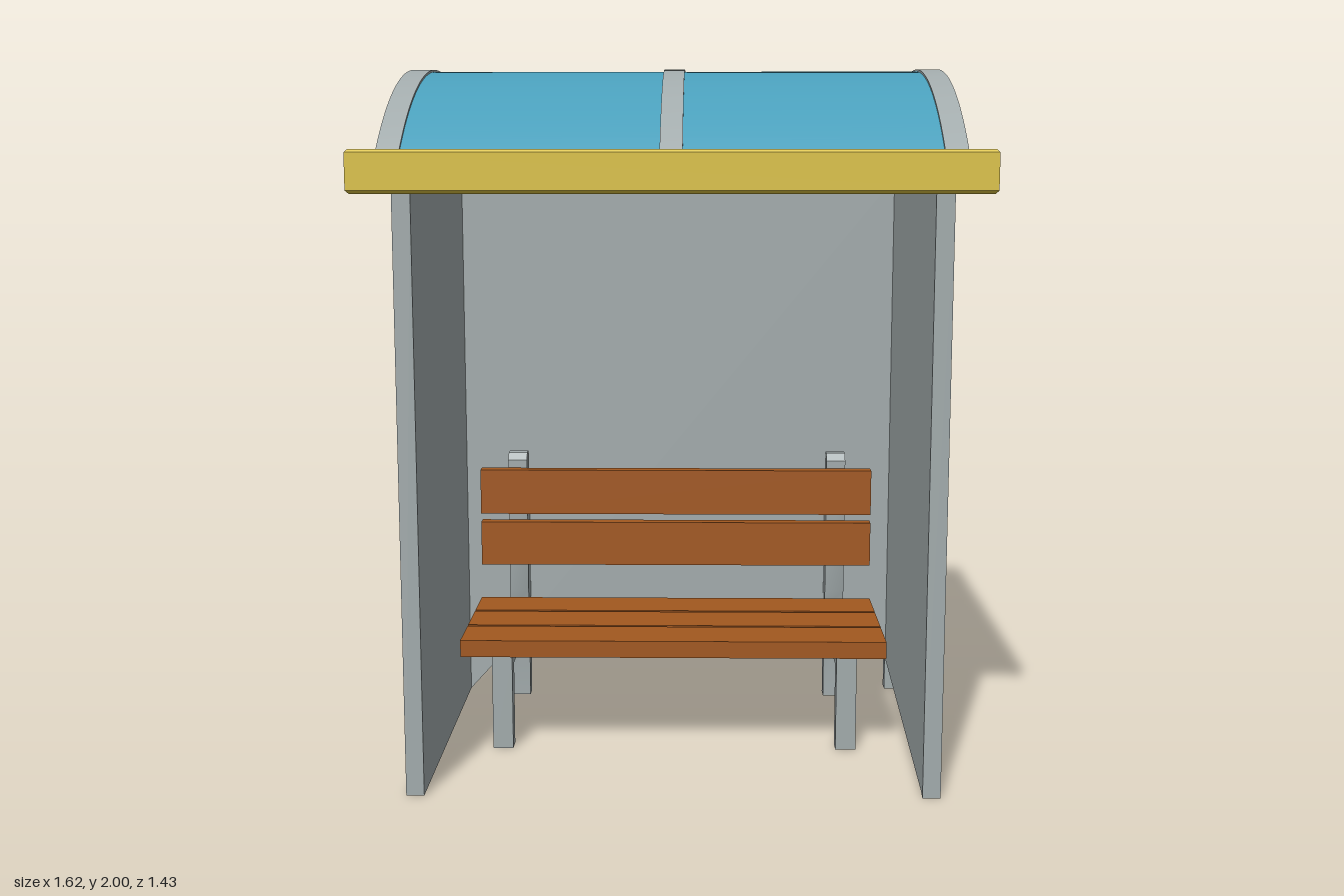
import * as THREE from 'three';
import { toCreasedNormals } from 'three/addons/utils/BufferGeometryUtils.js';

export function createModel() {
  const model = new THREE.Group();
  model.name = 'busShelter';

  const mat = (name, color) => {
    const m = new THREE.MeshStandardMaterial({ color });
    m.name = name;
    return m;
  };
  const yellow = mat('yellow frame', 0xd9c040);
  const blue = mat('blue canopy', 0x4a9fbb);
  const grey = mat('grey metal', 0xa2abac);
  const wood = mat('brown wood', 0xa2581f);

  const add = (name, geometry, material) => {
    const mesh = new THREE.Mesh(geometry, material);
    mesh.name = name;
    model.add(mesh);
    return mesh;
  };
  // Box given by its extents on each axis
  const box = (name, material, x0, x1, y0, y1, z0, z1) => {
    const mesh = add(name, new THREE.BoxGeometry(x1 - x0, y1 - y0, z1 - z0), material);
    mesh.position.set((x0 + x1) / 2, (y0 + y1) / 2, (z0 + z1) / 2);
    return mesh;
  };
  // Shape drawn in (-z, y), extruded along x from x0 to x1
  const extrudeX = (name, material, shape, x0, x1) => {
    const g = new THREE.ExtrudeGeometry(shape, { depth: x1 - x0, bevelEnabled: false, curveSegments: 28 });
    g.rotateY(Math.PI / 2);
    g.translate(x0, 0, 0);
    return add(name, toCreasedNormals(g, 0.5), material);
  };
  const polygon = (pts) => new THREE.Shape(pts.map(([a, b]) => new THREE.Vector2(a, b)));

  // Rectangular roof frame with an open middle, slightly bevelled
  const rim = polygon([[-0.803, -0.707], [0.803, -0.707], [0.803, 0.707], [-0.803, 0.707]]);
  rim.holes.push(new THREE.Path([[-0.747, -0.645], [-0.747, 0.645], [0.747, 0.645], [0.747, -0.645]]
    .map(([a, b]) => new THREE.Vector2(a, b))));
  const rimGeo = new THREE.ExtrudeGeometry(rim, {
    depth: 0.094, bevelEnabled: true, bevelSize: 0.008, bevelThickness: 0.008, bevelSegments: 1,
  });
  rimGeo.rotateX(-Math.PI / 2);
  rimGeo.translate(0, 1.668, 0);
  add('roofFrame', rimGeo, yellow);

  // Curved canopy and its ribs
  const centreY = 0.98, half = 0.705;
  const arc = (inner, outer) => {
    const s = new THREE.Shape();
    s.absarc(0, centreY, outer, Math.PI / 2 - half, Math.PI / 2 + half, false);
    s.absarc(0, centreY, inner, Math.PI / 2 + half, Math.PI / 2 - half, true);
    s.closePath();
    return s;
  };
  extrudeX('canopy', blue, arc(0.985, 1.014), -0.74, 0.74);
  for (const [x0, x1] of [[-0.745, -0.685], [-0.03, 0.028], [0.685, 0.745]]) {
    extrudeX('canopyRib', grey, arc(1.0, 1.02), x0, x1);
  }

  // Side walls: the left one rises toward the back, the right one reaches the ground
  const leftWall = polygon([[-0.48, 0], [-0.44, 0.01], [0.485, 0.11], [0.485, 0], [0.525, 0], [0.525, 1.69], [-0.48, 1.69]]);
  const rightWall = polygon([[-0.48, 0], [0.525, 0], [0.525, 1.69], [-0.48, 1.69]]);
  extrudeX('leftWall', grey, leftWall, 0.69, 0.74);
  extrudeX('rightWall', grey, rightWall, -0.74, -0.69);

  // Back wall with a small gusset at the right-hand foot
  const back = polygon([[-0.69, 0], [-0.59, 0.11], [0.69, 0.11], [0.69, 1.69], [-0.69, 1.69]]);
  const backGeo = new THREE.ExtrudeGeometry(back, { depth: 0.045, bevelEnabled: false });
  backGeo.translate(0, 0, -0.515);
  add('backWall', backGeo, grey);

  // Bench slats
  for (const [y0, y1] of [[0.455, 0.595], [0.622, 0.765]]) {
    box('backrestSlat', wood, -0.63, 0.62, y0, y1, -0.385, -0.345);
  }
  for (let i = 0; i < 3; i++) {
    const z = 0.16 - i * 0.168;
    box('seatSlat', wood, -0.63, 0.62, 0.3, 0.35, z - 0.155, z);
  }

  // Bench supports: front leg, bearer and round-topped back post
  for (const x of [-0.515, 0.51]) {
    box('frontLeg', grey, x - 0.03, x + 0.03, 0, 0.27, 0.05, 0.1);
    box('seatBearer', grey, x - 0.03, x + 0.03, 0.25, 0.3, -0.42, 0.1);
    const post = polygon([[0.385, 0.36], [0.405, 0.3], [0.405, 0], [0.455, 0], [0.455, 0.79],
      [0.44, 0.812], [0.405, 0.812], [0.385, 0.79]]);
    extrudeX('backPost', grey, post, x - 0.03, x + 0.03);
  }

  // Thin blue painted patches on the outer faces
  const rounded = (w, h, r) => {
    const s = new THREE.Shape();
    const a = w / 2 - r, b = h / 2 - r;
    s.absarc(a, b, r, 0, Math.PI / 2, false);
    s.absarc(-a, b, r, Math.PI / 2, Math.PI, false);
    s.absarc(-a, -b, r, Math.PI, Math.PI * 1.5, false);
    s.absarc(a, -b, r, Math.PI * 1.5, Math.PI * 2, false);
    return new THREE.ExtrudeGeometry(s, { depth: 0.004, bevelEnabled: false, curveSegments: 6 });
  };
  for (const x of [0.355, -0.225]) {
    add('backPatch', rounded(0.49, 0.09, 0.03), blue).position.set(x, 1.585, -0.518);
  }
  for (const [z, y, w, h, r] of [[0.005, 1.602, 0.11, 0.03, 0.012], [-0.38, 1.53, 0.095, 0.09, 0.04]]) {
    const patch = add('sidePatch', rounded(w, h, r), blue);
    patch.rotation.y = Math.PI / 2;
    patch.position.set(0.739, y, z);
  }

  return model;
}
